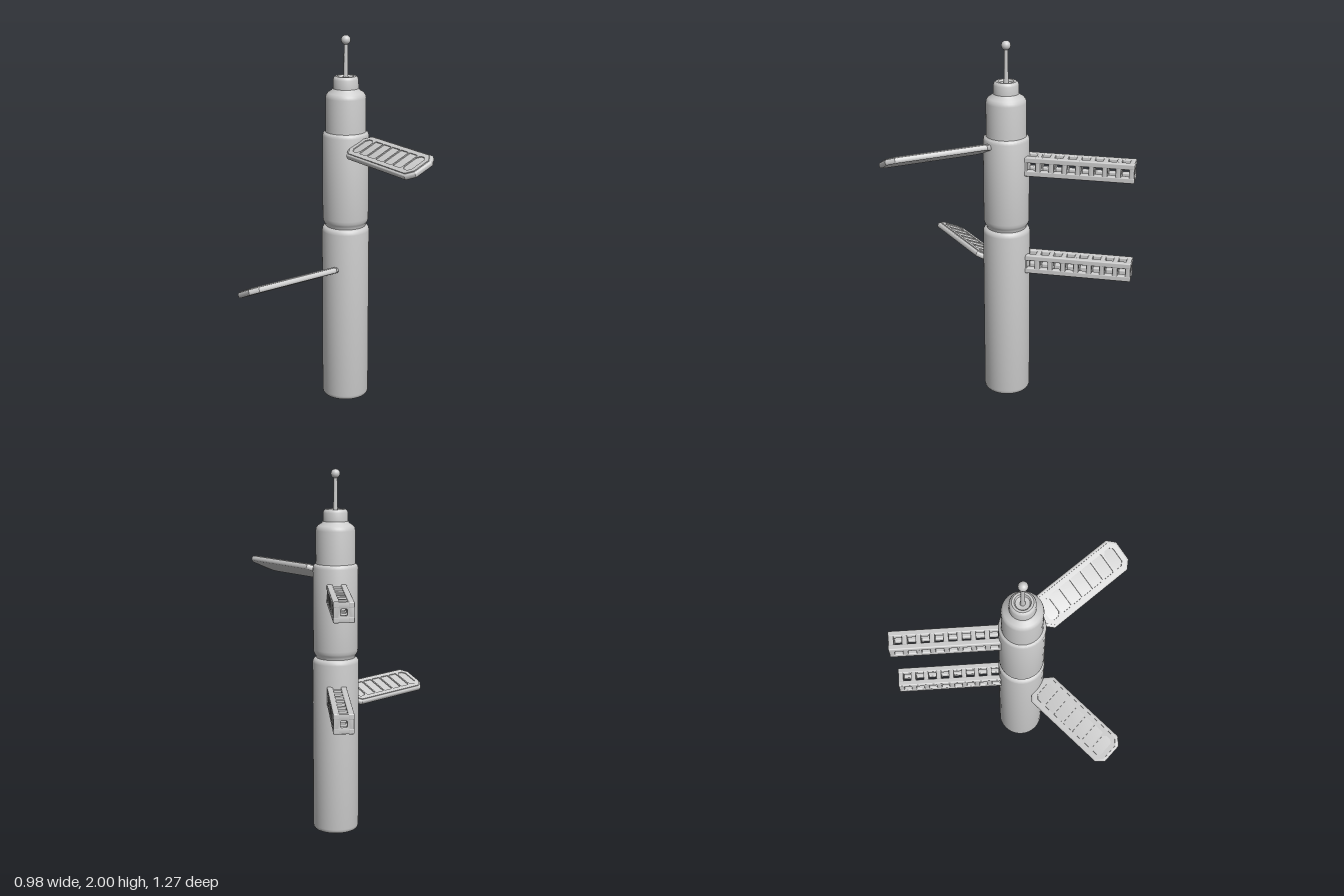
import * as THREE from 'three';
import { toCreasedNormals } from 'three/addons/utils/BufferGeometryUtils.js';
import { RoundedBoxGeometry } from 'three/addons/geometries/RoundedBoxGeometry.js';

const grey = new THREE.MeshStandardMaterial({ color: 0xcccccc });
const CX = 0.036, CZ = 0.047; // axis of the station body

function add(parent, name, geometry, x = 0, y = 0, z = 0) {
  const mesh = new THREE.Mesh(geometry, grey);
  mesh.name = name;
  mesh.position.set(x, y, z);
  parent.add(mesh);
  return mesh;
}

function lathe(points, segments = 36) {
  const profile = points.map(([r, y]) => new THREE.Vector2(r, y));
  return toCreasedNormals(new THREE.LatheGeometry(profile, segments), 0.6);
}

// Rectangle w x h with corners cut by c, centred on (x, y)
function trace(path, w, h, c, x = 0, y = 0) {
  const a = w / 2, b = h / 2;
  const pts = [[a - c, -b], [a, -b + c], [a, b - c], [a - c, b],
    [-a + c, b], [-a, b - c], [-a, -b + c], [-a + c, -b]];
  path.setFromPoints(pts.map(([px, py]) => new THREE.Vector2(x + px, y + py)));
  path.closePath();
  return path;
}

// Tilted panel: length along local z, ribbed face up
function panel(name, x, y, z, angle, length) {
  const W = 0.19, T = 0.034, bevel = 0.009, raise = 0.005;
  const group = new THREE.Group();
  group.name = name;
  group.position.set(x, y, z);
  group.rotation.set(0, angle, 0);
  const tilted = new THREE.Group();
  tilted.name = name + 'Tilt';
  tilted.rotation.z = THREE.MathUtils.degToRad(25);
  group.add(tilted);

  const slab = new THREE.ExtrudeGeometry(
    trace(new THREE.Shape(), W - 2 * bevel, length - 2 * bevel, 0.034),
    { depth: T - raise - 2 * bevel, bevelSize: bevel, bevelThickness: bevel, bevelSegments: 3 });
  slab.rotateX(-Math.PI / 2);
  add(tilted, 'panelSlab', toCreasedNormals(slab, 0.6), 0, -T / 2 + bevel, 0);

  // Raised frame with a row of shallow pockets
  const frame = trace(new THREE.Shape(), W - 0.026, length - 0.026, 0.034);
  const cells = 7, pitch = (length - 0.07) / cells;
  for (let i = 0; i < cells; i++) {
    const end = i === 0 || i === cells - 1;
    frame.holes.push(trace(new THREE.Path(), W - 0.075, pitch - 0.009, end ? 0.018 : 0.004,
      0, (i - (cells - 1) / 2) * pitch));
  }
  const rim = new THREE.ExtrudeGeometry(frame, { depth: raise + 0.002, bevelEnabled: false });
  rim.rotateX(-Math.PI / 2);
  add(tilted, 'panelRibs', rim, 0, T / 2 - raise - 0.002, 0);
  return group;
}

// Hollow square truss running backward from the body
function boom(name, y) {
  const S = 0.106, HOLE = 0.042, R = (S - HOLE) / 2, PITCH = 0.0705;
  const z0 = -0.64, z1 = -0.04, off = (S - R) / 2;
  const group = new THREE.Group();
  group.name = name;
  group.position.set(CX + 0.001, y, 0);
  for (const sx of [-1, 1]) for (const sy of [-1, 1]) {
    add(group, 'boomRail', new RoundedBoxGeometry(R, R, z1 - z0, 2, 0.007),
      sx * off, sy * off, (z0 + z1) / 2);
  }
  // Square collars between the openings
  const bevel = 0.005;
  const ring = trace(new THREE.Shape(), S - 2 * bevel - 0.002, S - 2 * bevel - 0.002, 0.006);
  ring.holes.push(trace(new THREE.Path(), HOLE, HOLE, 0.006));
  const depth = PITCH - HOLE;
  const collar = toCreasedNormals(new THREE.ExtrudeGeometry(ring, {
    depth: depth - 2 * bevel, bevelSize: bevel, bevelThickness: bevel, bevelSegments: 2 }), 0.6);
  for (let i = 0; i < 9; i++) {
    add(group, 'boomCollar', collar, 0, 0, z0 + bevel + i * PITCH + (i ? 0 : 0.001));
  }
  return group;
}

export function createModel() {
  const model = new THREE.Group();
  model.name = 'spaceStation';

  const core = new THREE.Group();
  core.name = 'body';
  core.position.set(CX, 0, CZ);
  model.add(core);

  // Lower module with rounded ends
  add(core, 'lowerModule', lathe([[0, 0.005], [0.09, 0.002], [0.108, 0], [0.119, 0.005],
    [0.125, 0.013], [0.127, 0.025], [0.127, 0.955], [0.125, 0.967], [0.119, 0.976],
    [0.108, 0.983], [0, 0.984]]));
  // Upper module, stepped to a docking collar with a recessed cap
  add(core, 'upperModule', lathe([[0, 0.975], [0.107, 0.975], [0.108, 0.992], [0.116, 1.003],
    [0.121, 1.014], [0.123, 1.03], [0.123, 1.475], [0.119, 1.488], [0.108, 1.497],
    [0.107, 1.51], [0.107, 1.675], [0.104, 1.69], [0.095, 1.702], [0.076, 1.714],
    [0.068, 1.724], [0.067, 1.77], [0.063, 1.781], [0.054, 1.788], [0.042, 1.788],
    [0.036, 1.778], [0, 1.772]]));
  // Antenna with ball tip
  add(core, 'antennaMast', lathe([[0, 1.765], [0.014, 1.765], [0.012, 1.8], [0.01, 1.96], [0, 1.96]], 16));
  add(core, 'antennaBall', new THREE.SphereGeometry(0.025, 20, 14), 0, 1.975, 0);

  // Panels at two heights, splayed to each side of the front
  model.add(panel('leftPanel', 0.27, 1.436, 0.366, Math.atan2(0.6, 0.8), 0.58));
  model.add(panel('rightPanel', -0.243, 0.746, 0.325, Math.atan2(-0.75, 0.66), 0.57));

  // Truss booms at the back
  model.add(boom('upperBoom', 1.345));
  model.add(boom('lowerBoom', 0.787));

  return model;
}
